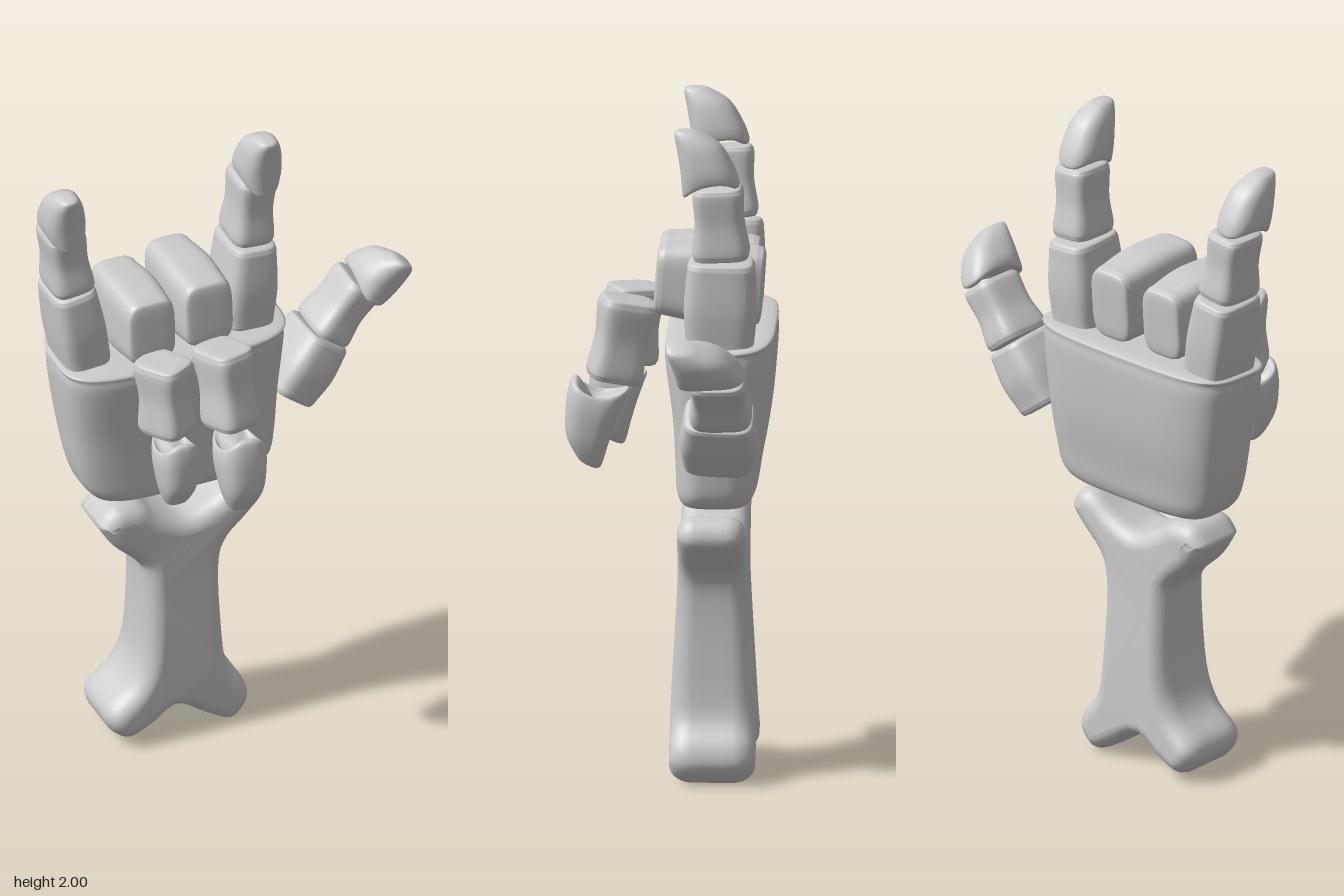
import * as THREE from 'three';
import { mergeVertices } from 'three/addons/utils/BufferGeometryUtils.js';

const material = new THREE.MeshStandardMaterial({ color: 0xcccccc, roughness: 0.6 });
const UP = new THREE.Vector3(0, 1, 0);

function named(name, geometry) {
  const mesh = new THREE.Mesh(geometry, material);
  mesh.name = name;
  return mesh;
}

// Catmull-Rom blend between the numbers b and c
function blend(a, b, c, d, t) {
  return 0.5 * (2 * b + (c - a) * t + (2 * a - 5 * b + 4 * c - d) * t * t + (3 * b - a - 3 * c + d) * t * t * t);
}

// Skin over rounded-box sections, each [frontZ, frontY, backZ, backY, halfWidth, centreX, sideLift]
function loft(sections, power = 4, sides = 48, steps = 5) {
  const rows = [];
  const last = sections.length - 1;
  for (let i = 0; i < last; i++) {
    for (let k = 0; k < steps; k++) {
      const at = j => sections[Math.min(last, Math.max(0, j))];
      rows.push(sections[i].map((_, n) => blend(at(i - 1)[n], at(i)[n], at(i + 1)[n], at(i + 2)[n], k / steps)));
    }
  }
  rows.push(sections[last]);

  const bow = v => Math.sign(v) * Math.abs(v) ** (2 / power);
  const positions = [], index = [];
  rows.forEach(([fz, fy, bz, by, w, cx, lift], i) => {
    for (let j = 0; j < sides; j++) {
      const a = (j / sides) * Math.PI * 2;
      const u = bow(Math.cos(a)), v = bow(Math.sin(a));
      positions.push(
        cx + u * w,
        (fy + by) / 2 + v * (fy - by) / 2 + lift * (1 - v * v),
        (fz + bz) / 2 + v * (fz - bz) / 2
      );
      if (i < rows.length - 1) {
        const p = i * sides + j, q = i * sides + (j + 1) % sides;
        index.push(p, p + sides, q, q, p + sides, q + sides);
      }
    }
  });
  const geometry = new THREE.BufferGeometry();
  geometry.setAttribute('position', new THREE.Float32BufferAttribute(positions, 3));
  geometry.setIndex(index);
  geometry.computeVertexNormals();
  return geometry;
}

// Waisted finger block between two points; each end is [halfWidth, halfDepth]
function phalanx(name, from, to, [w0, d0], [w1, d1], waist) {
  const start = new THREE.Vector3(...from);
  const axis = new THREE.Vector3(...to).sub(start);
  const length = axis.length();
  const profile = [[0, 0], [0.005, 0.82], [0.06, 0.97], [0.16, 1], [0.5, waist], [0.86, 1], [0.95, 0.96], [0.995, 0.8], [1, 0]];
  const mesh = named(name, loft(profile.map(([t, s]) => {
    const w = s * (w0 + (w1 - w0) * t), d = s * (d0 + (d1 - d0) * t), y = t * length;
    return [d, y, -d, y, w, 0, 0];
  })));
  mesh.position.copy(start);
  mesh.quaternion.setFromUnitVectors(UP, axis.normalize());
  return mesh;
}

// Pointed fingertip with a saddle-shaped base, leaning to the palm side
function fingertip(name, base, direction, w, d, length) {
  const shape = [
    [0, 0.3, 0, 0.3, 0, 0],
    [0.7, 0.06, -0.75, 0.16, 0.62, 0.18],
    [0.92, 0.02, -0.98, 0.17, 0.82, 0.13],
    [0.97, 0.16, -1, 0.26, 0.96, 0.06],
    [1.02, 0.4, -0.8, 0.48, 1, 0],
    [1.13, 0.7, -0.35, 0.78, 0.84, 0],
    [1.23, 0.92, 0.28, 0.95, 0.54, 0],
    [1.15, 0.985, 0.6, 0.995, 0.3, 0],
    [0.9, 1, 0.9, 1, 0, 0]
  ];
  const mesh = named(name, loft(shape.map(([fz, fy, bz, by, s, lift]) =>
    [fz * d, fy * length, bz * d, by * length, s * w, 0, lift * length]), 2.7));
  mesh.position.set(...base);
  mesh.quaternion.setFromUnitVectors(UP, new THREE.Vector3(...direction).normalize());
  return mesh;
}

function finger(name, ...parts) {
  const group = new THREE.Group();
  group.name = name;
  group.add(...parts);
  return group;
}

function palm() {
  return named('palm', loft([
    [-0.11, 0.85, -0.11, 0.85, 0, -0.14, 0],
    [-0.03, 0.85, -0.205, 0.85, 0.22, -0.14, 0],
    [-0.005, 0.88, -0.235, 0.88, 0.285, -0.14, 0],
    [0, 0.96, -0.25, 0.96, 0.312, -0.148, 0],
    [0.008, 1.1, -0.275, 1.1, 0.33, -0.155, 0],
    [0.027, 1.25, -0.29, 1.26, 0.347, -0.16, 0],
    [0.03, 1.31, -0.29, 1.33, 0.348, -0.16, 0],
    [0.012, 1.335, -0.275, 1.355, 0.325, -0.16, 0],
    [-0.13, 1.35, -0.13, 1.35, 0, -0.16, 0]
  ], 3.8, 72));
}

// Two-lobed bone cut from a smooth outline, slightly deeper at the bottom
function forearm() {
  const outline = [
    [-0.41, 0.77], [-0.36, 0.82], [-0.28, 0.815], [-0.22, 0.772], [-0.135, 0.737], [-0.05, 0.765],
    [0.03, 0.815], [0.085, 0.803], [0.105, 0.75], [0.06, 0.695], [-0.005, 0.63], [-0.028, 0.545],
    [-0.025, 0.36], [-0.008, 0.2], [0.045, 0.125], [0.055, 0.06], [0, 0.005], [-0.07, 0.035],
    [-0.175, 0.1], [-0.25, 0.055], [-0.33, 0.025], [-0.385, 0.07], [-0.385, 0.13], [-0.31, 0.2],
    [-0.272, 0.31], [-0.265, 0.55], [-0.285, 0.615], [-0.36, 0.69]
  ].map(([x, y]) => new THREE.Vector2(x, y));
  const shape = new THREE.Shape().moveTo(outline[0].x, outline[0].y);
  shape.splineThru([...outline.slice(1), outline[0]]);
  let geometry = new THREE.ExtrudeGeometry(shape, {
    depth: 0.1, steps: 4, curveSegments: 4,
    bevelSize: 0.05, bevelOffset: -0.05, bevelThickness: 0.055, bevelSegments: 7
  });
  geometry.deleteAttribute('uv');
  geometry.deleteAttribute('normal');
  geometry = mergeVertices(geometry, 1e-4);
  const p = geometry.attributes.position;
  for (let i = 0; i < p.count; i++) {
    const depth = THREE.MathUtils.lerp(0.25, 0.2, THREE.MathUtils.smoothstep(p.getY(i), 0.1, 0.75));
    p.setZ(i, -0.108 + (p.getZ(i) - 0.05) * depth / 0.21);
  }
  geometry.computeVertexNormals();
  return named('forearmBone', geometry);
}

export function createModel() {
  const hand = new THREE.Group();
  hand.name = 'skeletonHand';
  hand.add(forearm(), palm());

  // Raised outer fingers
  hand.add(finger('indexFinger',
    phalanx('indexProximal', [0.083, 1.32, -0.135], [0.103, 1.605, -0.14], [0.08, 0.1], [0.073, 0.1], 1.07),
    phalanx('indexMiddle', [0.103, 1.61, -0.14], [0.117, 1.83, -0.13], [0.067, 0.085], [0.06, 0.073], 0.92),
    fingertip('indexTip', [0.121, 1.795, -0.108], [0.01, 1, 0], 0.062, 0.085, 0.205)));
  hand.add(finger('littleFinger',
    phalanx('littleProximal', [-0.425, 1.32, -0.14], [-0.468, 1.59, -0.145], [0.075, 0.1], [0.07, 0.095], 1.05),
    phalanx('littleMiddle', [-0.466, 1.592, -0.14], [-0.492, 1.8, -0.135], [0.067, 0.085], [0.06, 0.073], 0.92),
    fingertip('littleTip', [-0.495, 1.77, -0.11], [-0.09, 1, 0], 0.062, 0.085, 0.2)));

  // Folded inner fingers
  hand.add(finger('middleFinger',
    phalanx('middleProximal', [-0.1, 1.475, -0.255], [-0.1, 1.5, 0.06], [0.075, 0.115], [0.08, 0.105], 1.08),
    phalanx('middleMiddle', [-0.097, 1.435, 0.135], [-0.09, 1.19, 0.185], [0.07, 0.086], [0.068, 0.078], 0.9),
    fingertip('middleTip', [-0.088, 1.205, 0.205], [0, -0.9, 0.43], 0.072, 0.085, 0.265)));
  hand.add(finger('ringFinger',
    phalanx('ringProximal', [-0.282, 1.465, -0.235], [-0.282, 1.485, 0.06], [0.075, 0.11], [0.078, 0.105], 1.08),
    phalanx('ringMiddle', [-0.28, 1.43, 0.125], [-0.275, 1.195, 0.145], [0.067, 0.08], [0.063, 0.076], 0.9),
    fingertip('ringTip', [-0.268, 1.205, 0.158], [0, -0.92, 0.4], 0.062, 0.08, 0.235)));

  // Thumb spread to the side
  hand.add(finger('thumb',
    phalanx('thumbProximal', [0.215, 1.035, -0.135], [0.342, 1.2, -0.145], [0.078, 0.105], [0.076, 0.105], 1.07),
    phalanx('thumbMiddle', [0.345, 1.195, -0.15], [0.468, 1.345, -0.145], [0.067, 0.092], [0.06, 0.08], 0.92),
    fingertip('thumbTip', [0.457, 1.325, -0.12], [0.62, 0.78, 0], 0.066, 0.1, 0.165)));

  return hand;
}
